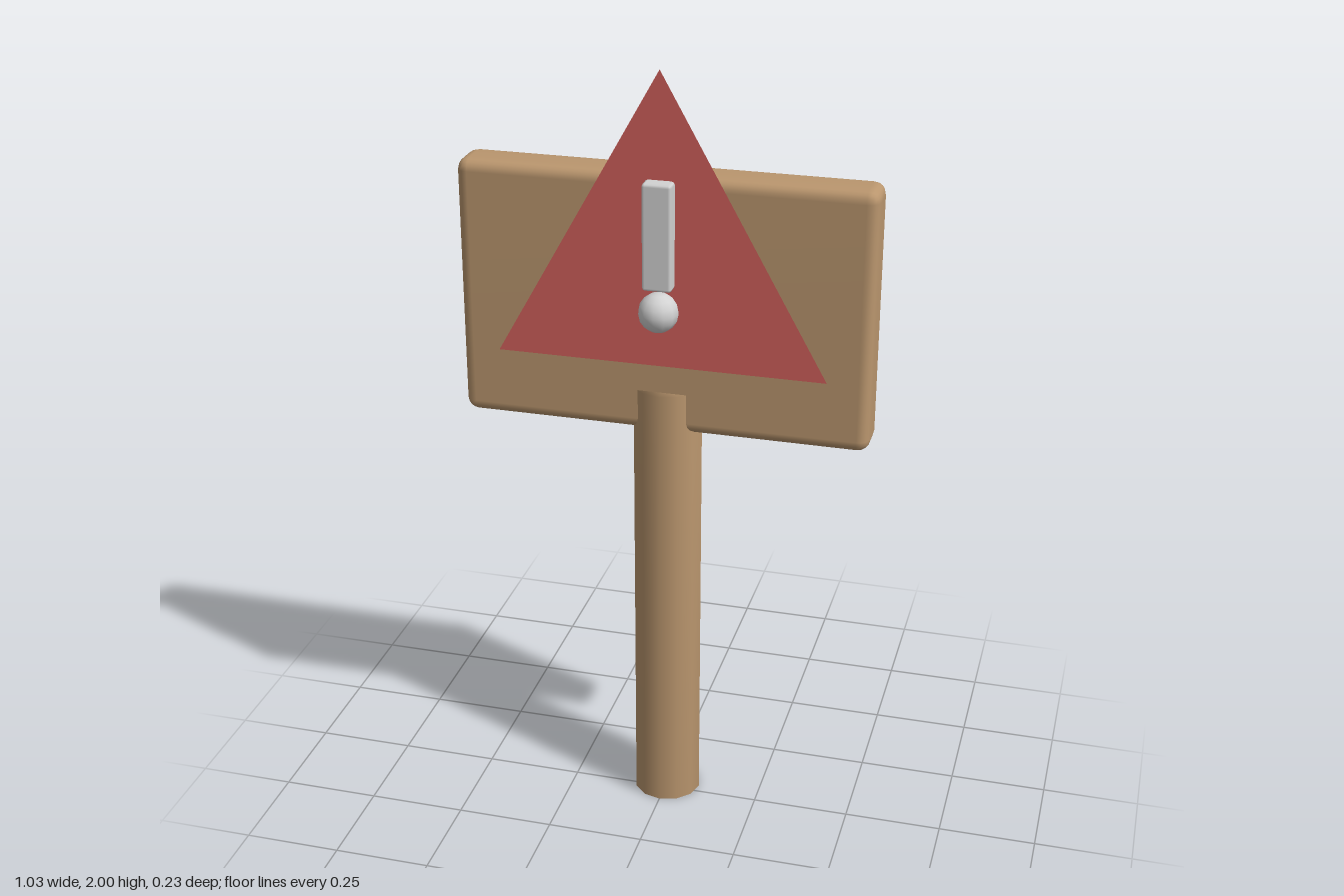
import * as THREE from 'three';
import { mergeVertices } from 'three/addons/utils/BufferGeometryUtils.js';
import { RoundedBoxGeometry } from 'three/addons/geometries/RoundedBoxGeometry.js';

const wood = new THREE.MeshStandardMaterial({ color: 0xba966e });
wood.name = 'wood';
const red = new THREE.MeshStandardMaterial({ color: 0xd0605b, side: THREE.DoubleSide });
red.name = 'warning red';
const grey = new THREE.MeshStandardMaterial({ color: 0xd2d2d2 });
grey.name = 'light grey';

// Weld corners so that shading runs smoothly over all edges
function smooth(geometry) {
  geometry.deleteAttribute('normal');
  geometry.deleteAttribute('uv');
  const welded = mergeVertices(geometry, 1e-4);
  welded.computeVertexNormals();
  return welded;
}

export function createModel() {
  const group = new THREE.Group();
  group.name = 'warningSign';

  function add(name, geometry, material, x, y, z) {
    const mesh = new THREE.Mesh(geometry, material);
    mesh.name = name;
    mesh.position.set(x, y, z);
    group.add(mesh);
  }

  // Post and board share one centre plane
  const woodZ = -0.027;
  add('post', smooth(new THREE.CylinderGeometry(0.088, 0.088, 1.187, 12)), wood, 0, 0.5935, woodZ);
  add('board', smooth(new RoundedBoxGeometry(1.034, 0.662, 0.117, 2, 0.03)), wood, 0, 1.411, woodZ);

  // Flat triangle standing just in front of the board
  const triangle = new THREE.Shape([
    new THREE.Vector2(-0.413, 1.265),
    new THREE.Vector2(0.413, 1.265),
    new THREE.Vector2(0, 2),
  ]);
  add('warningTriangle', new THREE.ShapeGeometry(triangle), red, 0, 0, 0.048);

  // Exclamation mark
  add('markBar', new RoundedBoxGeometry(0.073, 0.267, 0.045, 1, 0.008), grey, 0, 1.603, 0.062);
  add('markDot', new THREE.SphereGeometry(0.05, 12, 8), grey, 0, 1.411, 0.062);

  return group;
}
